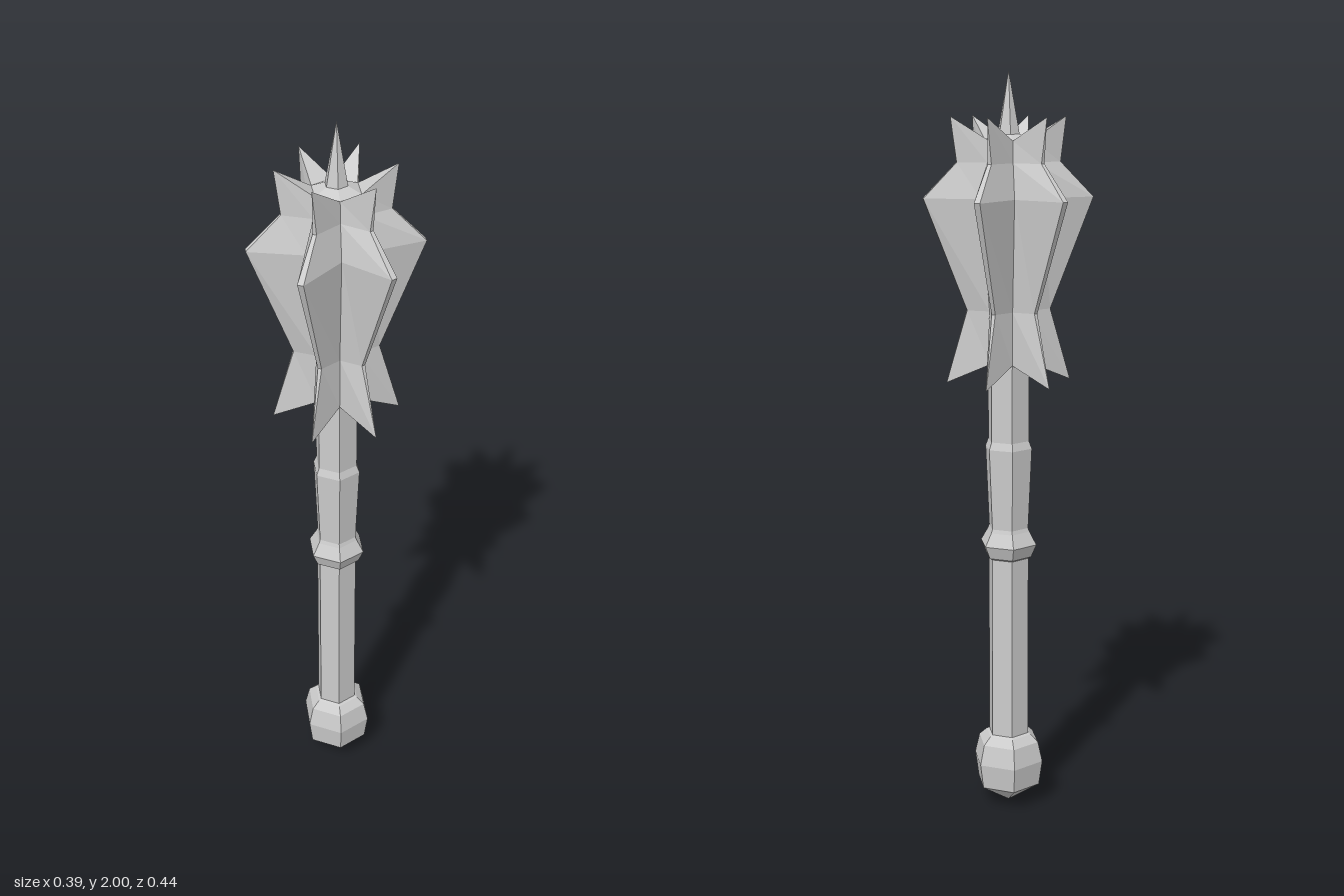
import * as THREE from 'three';

const SIDES = 6;
const material = new THREE.MeshStandardMaterial({ color: 0xcccccc, flatShading: true });

// Six-sided turned part with corners on the x axis; profile runs bottom to top
function turned(name, profile) {
  const points = profile.map(([r, y]) => new THREE.Vector2(r, y));
  const mesh = new THREE.Mesh(new THREE.LatheGeometry(points, SIDES, Math.PI / 2), material);
  mesh.name = name;
  return mesh;
}

// Star-shaped loft: every level has a valley and a two-edged ridge per sector
// level: [valley radius, valley y, ridge radius, ridge y, ridge half width]
function flangedHead(levels) {
  const ring = ([vr, vy, rr, ry, w]) => {
    const pts = [];
    for (let k = 0; k < SIDES; k++) {
      const a = (k * Math.PI) / 3, b = a + Math.PI / 6;
      pts.push(new THREE.Vector3(vr * Math.cos(a), vy, -vr * Math.sin(a)));
      for (const s of [-w, w]) {
        pts.push(new THREE.Vector3(
          rr * Math.cos(b) - s * Math.sin(b), ry, -rr * Math.sin(b) - s * Math.cos(b)));
      }
    }
    return pts;
  };
  const rings = levels.map(ring);
  const positions = [];
  const triangle = (a, b, c) => {
    if (new THREE.Triangle(a, b, c).getArea() < 1e-8) return; // collapsed at the points
    for (const p of [a, b, c]) positions.push(p.x, p.y, p.z);
  };
  for (let i = 0; i < rings.length - 1; i++) {
    const n = rings[i].length;
    for (let j = 0; j < n; j++) {
      const k = (j + 1) % n;
      triangle(rings[i][j], rings[i + 1][j], rings[i + 1][k]);
      triangle(rings[i][j], rings[i + 1][k], rings[i][k]);
    }
  }
  const geometry = new THREE.BufferGeometry();
  geometry.setAttribute('position', new THREE.Float32BufferAttribute(positions, 3));
  geometry.computeVertexNormals();
  const mesh = new THREE.Mesh(geometry, material);
  mesh.name = 'flangedHead';
  return mesh;
}

export function createModel() {
  const mace = new THREE.Group();
  mace.name = 'mace';

  // Rounded pommel with a pointed base
  mace.add(turned('pommel', [[0, 0], [0.09, 0.06], [0.1, 0.13], [0.087, 0.185], [0.065, 0.205], [0.055, 0.21]]));

  // Handle, collar ring and flared upper grip
  mace.add(turned('shaft', [
    [0.057, 0.2], [0.057, 0.715], [0.065, 0.72], [0.08, 0.755], [0.06, 0.79],
    [0.056, 0.8], [0.066, 1.02], [0.058, 1.04], [0.058, 1.25],
  ]));

  // Six flanges, ending in points above and below
  const inner = Math.cos(Math.PI / 6);
  mace.add(flangedHead([
    [0.065, 1.825, 0.065 * inner, 1.825, 0],
    [0.065, 1.825, 0.15, 1.885, 0],
    [0.07, 1.77, 0.135, 1.77, 0.005],
    [0.092, 1.68, 0.222, 1.68, 0.008],
    [0.064, 1.39, 0.11, 1.39, 0.005],
    [0.062, 1.25, 0.165, 1.2, 0],
    [0.062, 1.25, 0.062 * inner, 1.25, 0],
  ]));

  // Sloped crown and central spike
  mace.add(turned('topSpike', [[0.065, 1.825], [0.03, 1.84], [0, 2]]));

  return mace;
}
